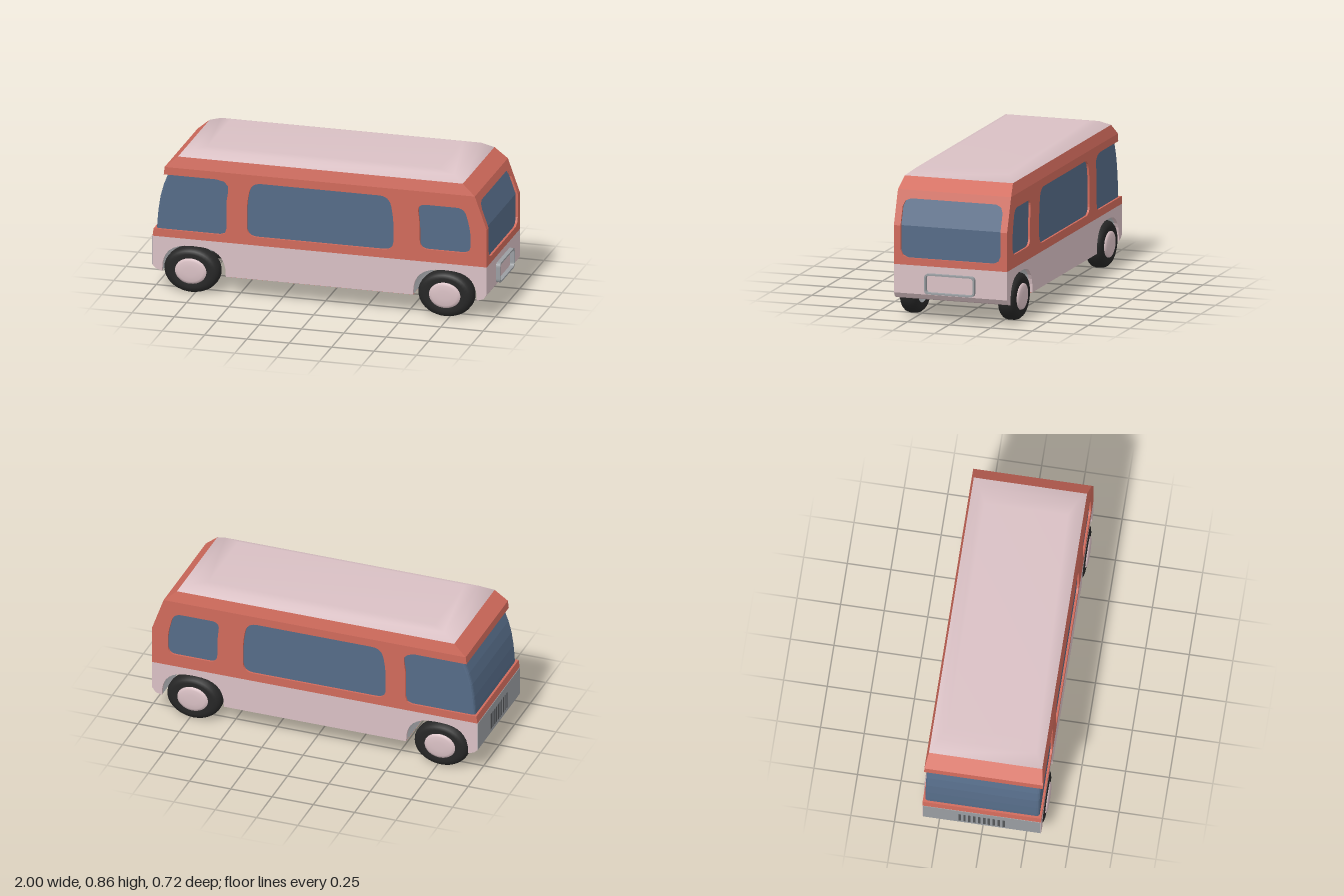
import * as THREE from 'three';

const mat = (name, color) => {
  const m = new THREE.MeshStandardMaterial({ color, side: THREE.DoubleSide });
  m.name = name;
  return m;
};

// Shape from a list of [x, y] corners
const poly = (pts) => new THREE.Shape(pts.map(([x, y]) => new THREE.Vector2(x, y)));

// Closed outline with every corner rounded by radius r
function rounded(pts, r, Type = THREE.Shape) {
  const s = new Type();
  const v = pts.map(([x, y]) => new THREE.Vector2(x, y));
  v.forEach((p, i) => {
    const a = v[(i + v.length - 1) % v.length], b = v[(i + 1) % v.length];
    const p0 = p.clone().add(a.clone().sub(p).setLength(r));
    const p1 = p.clone().add(b.clone().sub(p).setLength(r));
    if (i === 0) s.moveTo(p0.x, p0.y); else s.lineTo(p0.x, p0.y);
    s.quadraticCurveTo(p.x, p.y, p1.x, p1.y);
  });
  s.closePath();
  return s;
}

const rect = (x0, x1, y0, y1) => [[x0, y0], [x1, y0], [x1, y1], [x0, y1]];

const extrude = (shape, depth) =>
  new THREE.ExtrudeGeometry(shape, { depth, bevelEnabled: false, curveSegments: 6 });

// Sheet that sweeps an x-y polyline across the width
function ribbon(pts, half) {
  const pos = [], idx = [];
  pts.forEach(([x, y], i) => {
    pos.push(x, y, half, x, y, -half);
    if (i) idx.push(2 * i - 2, 2 * i - 1, 2 * i, 2 * i, 2 * i - 1, 2 * i + 1);
  });
  const g = new THREE.BufferGeometry();
  g.setAttribute('position', new THREE.Float32BufferAttribute(pos, 3));
  g.setIndex(idx);
  const flat = g.toNonIndexed();
  flat.computeVertexNormals();
  return flat;
}

// Loft through rectangular rings [y, x0, x1, halfWidth]
function loft(rings, smooth) {
  const pos = [], idx = [];
  rings.forEach(([y, x0, x1, h], k) => {
    pos.push(x0, y, h, x1, y, h, x1, y, -h, x0, y, -h);
    if (k) for (let i = 0; i < 4; i++) {
      const a = 4 * k - 4 + i, b = 4 * k - 4 + (i + 1) % 4;
      idx.push(a, b, b + 4, a, b + 4, a + 4);
    }
  });
  const t = 4 * (rings.length - 1);
  idx.push(t, t + 1, t + 2, t, t + 2, t + 3);
  let g = new THREE.BufferGeometry();
  g.setAttribute('position', new THREE.Float32BufferAttribute(pos, 3));
  g.setIndex(idx);
  if (!smooth) g = g.toNonIndexed();
  g.computeVertexNormals();
  return g;
}

// Wheel arch outline, from its left foot to its right foot
function arch(cx) {
  const pts = [];
  for (let i = 0; i <= 16; i++) {
    const a = Math.PI * (1 - i / 16), c = Math.cos(a), s = Math.max(0, Math.sin(a));
    pts.push([cx + 0.188 * Math.sign(c) * Math.abs(c) ** 0.75, 0.12 + 0.165 * s ** 0.75]);
  }
  return pts;
}

export function createModel() {
  const red = mat('red paint', 0xd06a5b), pink = mat('pale pink paint', 0xd9c0c4);
  const glass = mat('blue glass', 0x556b87), black = mat('black rubber', 0x262626);
  const grey = mat('grey metal', 0x9a9ea2), pale = mat('pale grey lining', 0xc4c6ca);
  const dark = mat('dark grille', 0x55575a);

  const bus = new THREE.Group();
  bus.name = 'bus';
  const add = (name, geo, m, parent = bus) => {
    const mesh = new THREE.Mesh(geo, m);
    mesh.name = name;
    parent.add(mesh);
    return mesh;
  };

  // Lower skirt with open wheel arches
  const archA = arch(-0.752), archB = arch(0.728);
  const noseEnd = [[-0.996, 0.325], [-0.996, 0.15], [-0.975, 0.13], [-0.94, 0.12]];
  const tailEnd = [[0.916, 0.12], [0.955, 0.132], [0.975, 0.16], [0.975, 0.325]];
  const skirt = poly([...noseEnd, ...archA.slice(1), ...archB, ...tailEnd.slice(1)]);

  // Upper side wall with a wraparound front opening and two windows
  const wall = poly([
    [-0.996, 0.325], [0.975, 0.325], [0.975, 0.55], [0.905, 0.745], [-0.925, 0.745], [-0.93, 0.7],
    [-0.62, 0.7], [-0.575, 0.69], [-0.55, 0.665], [-0.55, 0.635], [-0.56, 0.57], [-0.56, 0.41],
    [-0.57, 0.38], [-0.6, 0.37], [-0.99, 0.37],
  ]);
  wall.holes.push(
    rounded([[-0.44, 0.375], [0.425, 0.375], [0.425, 0.57], [0.4, 0.697], [-0.415, 0.697], [-0.44, 0.57]], 0.06, THREE.Path),
    rounded([[0.58, 0.4], [0.88, 0.4], [0.88, 0.53], [0.845, 0.667], [0.565, 0.667], [0.58, 0.55]], 0.05, THREE.Path),
  );
  for (const [side, z] of [['left', 0.32], ['right', -0.34]]) {
    add(side + ' skirt', extrude(skirt, 0.02).translate(0, 0, z), pink);
    add(side + ' wall', extrude(wall, 0.02).translate(0, 0, z), red);
  }

  add('nose panel', ribbon(noseEnd, 0.34), pink);
  add('tail panel', ribbon(tailEnd, 0.34), pink);
  add('front arch lining', ribbon(archA, 0.32), pale);
  add('rear arch lining', ribbon(archB, 0.32), pale);
  add('floor', ribbon([[-0.564, 0.119], [0.54, 0.119]], 0.338), red);
  add('windshield ledge', ribbon([[-0.996, 0.325], [-0.99, 0.37], [-0.94, 0.37]], 0.34), red);
  add('visor', ribbon([[-0.87, 0.7], [-0.93, 0.7], [-0.925, 0.745]], 0.34), red);

  // Tail wall around the rear window, bent to the slope of the body
  const lower = [[-0.34, 0.325], [0.34, 0.325], [0.34, 0.55], [0.3, 0.55], [0.3, 0.41], [0.287, 0.38],
    [0.255, 0.366], [-0.255, 0.366], [-0.287, 0.38], [-0.3, 0.41], [-0.3, 0.55], [-0.34, 0.55]];
  const upper = [[-0.34, 0.55], [-0.3, 0.55], [-0.3, 0.655], [-0.287, 0.686], [-0.255, 0.7], [0.255, 0.7],
    [0.287, 0.686], [0.3, 0.655], [0.3, 0.55], [0.34, 0.55], [0.34, 0.745], [-0.34, 0.745]];
  for (const [name, pts] of [['lower tail wall', lower], ['upper tail wall', upper]]) {
    const g = extrude(poly(pts), 0.02).rotateY(Math.PI / 2);
    const p = g.attributes.position;
    for (let i = 0; i < p.count; i++) {
      p.setX(i, p.getX(i) + 0.955 - Math.max(0, p.getY(i) - 0.55) * 0.359);
    }
    g.computeVertexNormals();
    add(name, g, red);
  }

  // Glass cabin set just inside the walls
  const cabin = poly([[-0.978, 0.35], [0.962, 0.35], [0.962, 0.55], [0.902, 0.72], [-0.9, 0.72],
    [-0.915, 0.69], [-0.938, 0.63], [-0.957, 0.56], [-0.969, 0.48], [-0.976, 0.4]]);
  add('windows', new THREE.ExtrudeGeometry(cabin, {
    depth: 0.616, bevelThickness: 0.02, bevelSize: 0.015, bevelOffset: -0.015, bevelSegments: 3,
  }).translate(0, 0, -0.308), glass);

  // Roof
  const eave = [0.81, -0.85, 0.83, 0.325];
  add('roof band', loft([[0.745, -0.925, 0.905, 0.34], eave], false), red);
  add('roof', loft([eave, [0.845, -0.77, 0.765, 0.28], [0.858, -0.7, 0.67, 0.24]], true), pink);

  // Tail plate frame
  const frame = rounded(rect(-0.15, 0.15, 0.167, 0.285), 0.025);
  frame.holes.push(rounded(rect(-0.141, 0.141, 0.176, 0.276), 0.02, THREE.Path));
  add('plate frame', extrude(frame, 0.03).rotateY(Math.PI / 2).translate(0.97, 0, 0), grey);

  // Nose plate and grille
  add('nose plate', new THREE.BoxGeometry(0.004, 0.17, 0.675).translate(-0.9965, 0.238, 0), grey);
  for (let i = 0; i < 10; i++) {
    add('grille slot', new THREE.BoxGeometry(0.004, 0.1, 0.014).translate(-0.998, 0.225, (i - 4.5) * 0.028), dark);
  }

  // Wheels and axles
  const lathe = (pts) => new THREE.LatheGeometry(pts.map(([r, z]) => new THREE.Vector2(r, z)), 36)
    .rotateX(Math.PI / 2).scale(1.22, 1, 1);
  const tyre = lathe([[0.075, 0.25], [0.1, 0.245], [0.118, 0.249], [0.13, 0.262], [0.135, 0.28],
    [0.135, 0.31], [0.13, 0.328], [0.118, 0.341], [0.1, 0.346], [0.075, 0.343]]);
  const hub = lathe([[0.077, 0.34], [0.074, 0.349], [0.06, 0.355], [0.03, 0.358], [0, 0.358]]);
  const rim = lathe([[0, 0.275], [0.05, 0.275], [0.078, 0.25]]);
  const axle = new THREE.CylinderGeometry(0.02, 0.02, 0.56, 16).rotateX(Math.PI / 2);
  for (const [name, x] of [['front', -0.77], ['rear', 0.728]]) {
    const set = new THREE.Group();
    set.name = name + ' wheels';
    set.position.set(x, 0.135, 0);
    add('axle', axle, grey, set);
    for (const turn of [0, Math.PI]) {
      const wheel = new THREE.Group();
      wheel.name = 'wheel';
      wheel.rotation.y = turn;
      add('tyre', tyre, black, wheel);
      add('hub cap', hub, pink, wheel);
      add('inner rim', rim, grey, wheel);
      set.add(wheel);
    }
    bus.add(set);
  }
  return bus;
}
